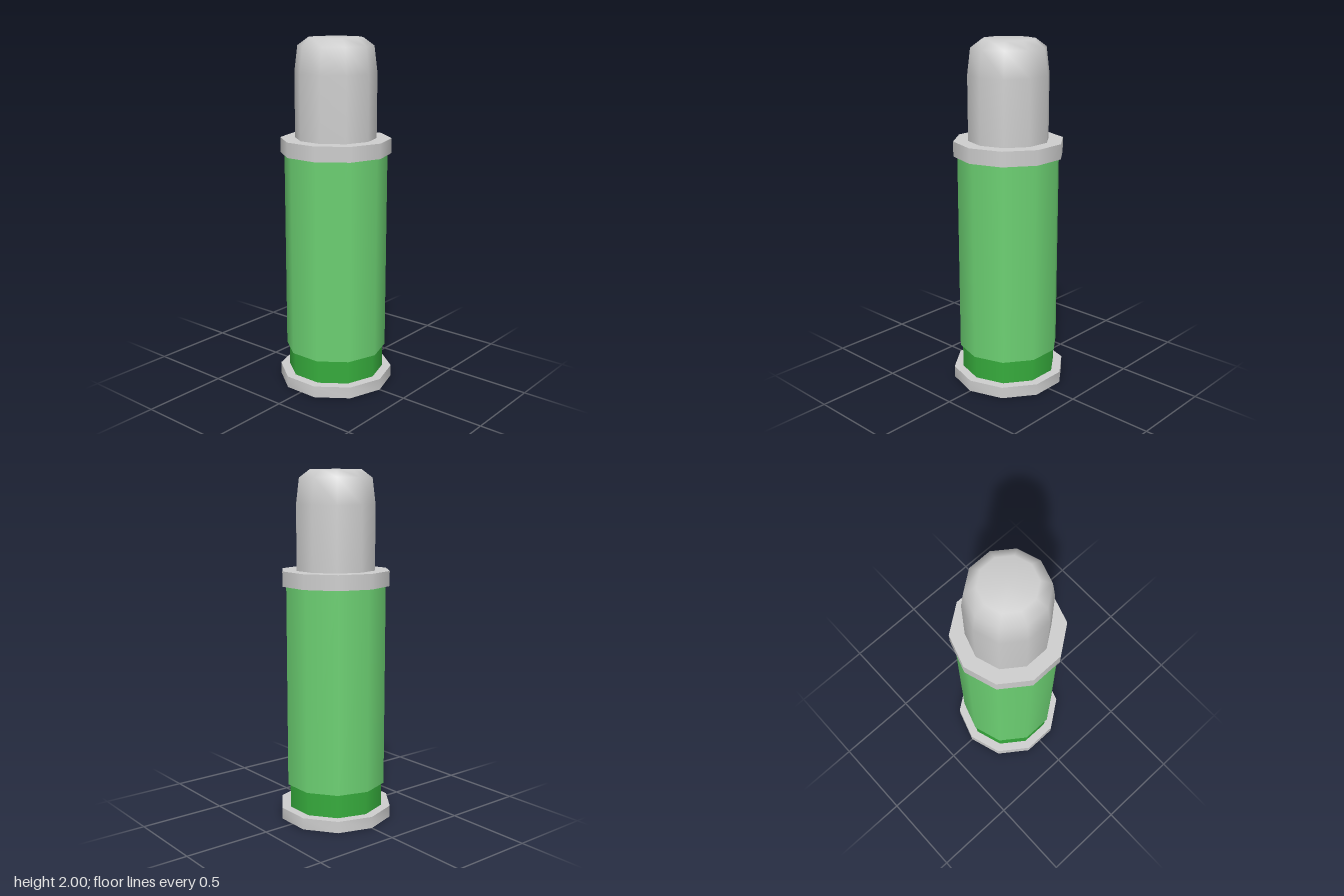
import * as THREE from 'three';
import { toCreasedNormals } from 'three/addons/utils/BufferGeometryUtils.js';

const SIDES = 10;

function material(name, color) {
  const m = new THREE.MeshStandardMaterial({ color });
  m.name = name;
  return m;
}

// Ten-sided turned part from [radius, height] points
function turned(points) {
  return new THREE.LatheGeometry(points.map(([r, y]) => new THREE.Vector2(r, y)), SIDES);
}

export function createModel() {
  const grey = material('light grey metal', 0xcdcdcd);
  const green = material('light green', 0x6cd072);
  const darkGreen = material('dark green', 0x36ab3c);

  const model = new THREE.Group();
  model.name = 'cartridge';

  const add = (name, geometry, mat) => {
    const mesh = new THREE.Mesh(geometry, mat);
    mesh.name = name;
    model.add(mesh);
  };

  const band = (name, radius, bottom, top, mat) => {
    const g = new THREE.CylinderGeometry(radius, radius, top - bottom, SIDES);
    g.translate(0, (bottom + top) / 2, 0);
    add(name, g, mat);
  };

  // Base rim with a shallow recess underneath
  add('baseRim', toCreasedNormals(turned([
    [0, 0.055], [0.232, 0.055], [0.232, 0], [0.331, 0], [0.331, 0.067], [0, 0.067],
  ]), 0.75), grey);

  // Narrow groove, main casing and upper collar
  band('groove', 0.278, 0.067, 0.205, darkGreen);
  band('casing', 0.292, 0.205, 1.36, green);
  band('collar', 0.314, 1.36, 1.445, grey);

  // Smooth blunt-nosed tip
  add('tip', turned([
    [0.23, 1.445], [0.23, 1.81], [0.212, 1.955], [0.15, 2], [0, 2],
  ]), grey);

  return model;
}
